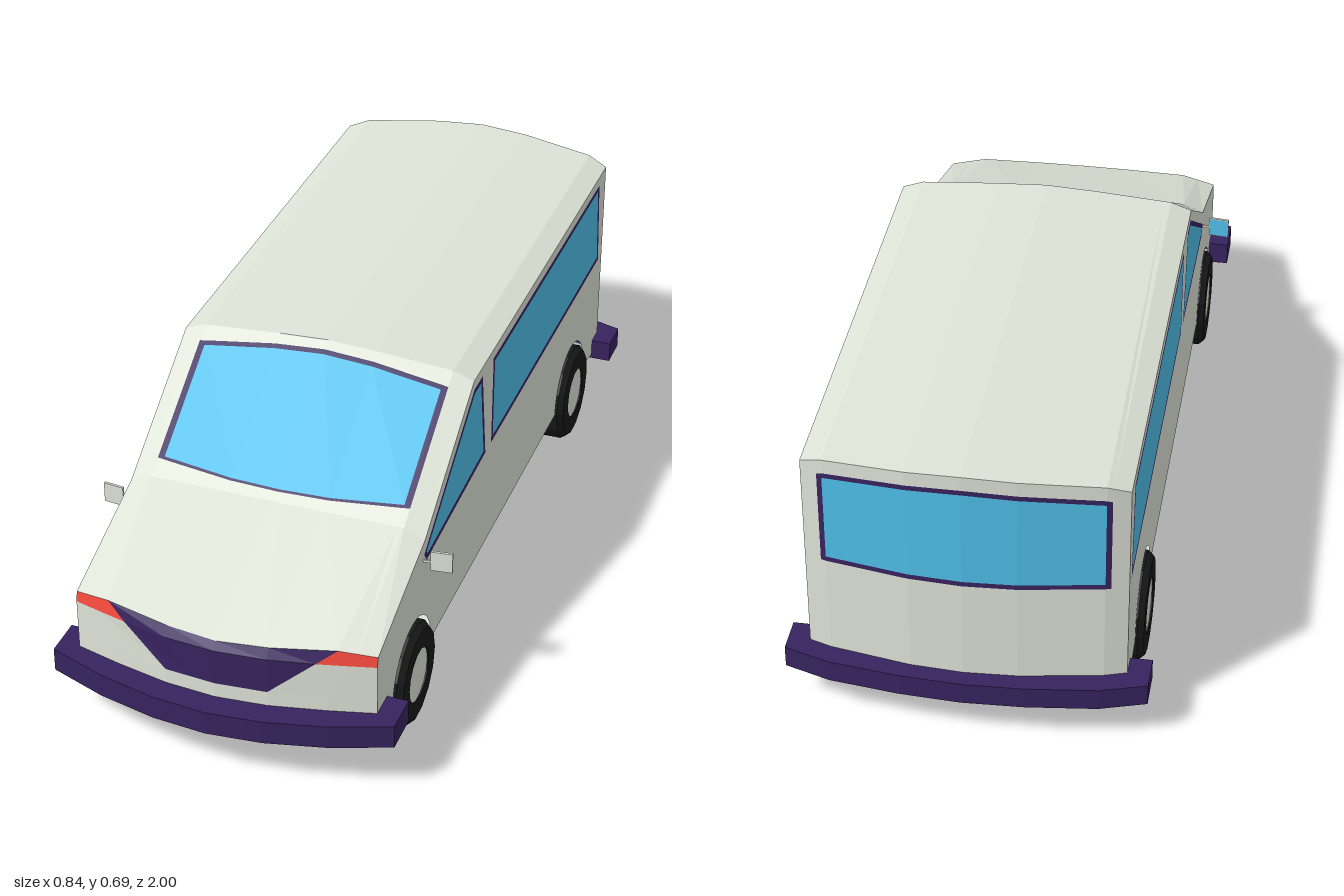
import * as THREE from 'three';

const material = (color) => new THREE.MeshStandardMaterial({ color, flatShading: true, side: THREE.DoubleSide });
const W = 0.355; // half width of the body

// Piecewise-linear curve through [x, value] pairs
function curve(pts) {
  return (x) => {
    let i = 1;
    while (i < pts.length - 1 && x > pts[i][0]) i++;
    const [a, b] = [pts[i - 1], pts[i]];
    return THREE.MathUtils.lerp(a[1], b[1], (x - a[0]) / (b[0] - a[0]));
  };
}

function polygon(pts, Type = THREE.Shape) {
  return new Type(pts.map(([x, y]) => new THREE.Vector2(x, y)));
}

export function createModel() {
  const van = new THREE.Group();
  van.name = 'van';
  const mats = {
    b: material(0xdfe4d8), f: material(0x38235f), g: material(0x4fc0ea),
    r: material(0xf54a3c), t: material(0x1a1a1a),
  };
  const add = (name, geometry, mat, parent = van) => {
    const mesh = new THREE.Mesh(geometry, mat);
    mesh.name = name;
    parent.add(mesh);
    return mesh;
  };

  // Outlines across the width: nose and tail depth, windscreen base and roof height
  const noseZ = curve([[0, 0.94], [0.12, 0.93], [0.24, 0.905], [W, 0.875]]);
  const hoodZ = curve([[0, 0.925], [0.12, 0.915], [0.27, 0.89], [W, 0.87]]);
  const hoodY = curve([[0, 0.33], [0.12, 0.335], [0.27, 0.347], [W, 0.337]]);
  const tailZ = curve([[0, -0.96], [0.12, -0.953], [0.3, -0.923], [W, -0.905]]);
  const baseY = curve([[0, 0.46], [0.305, 0.46], [W, 0.44]]);
  const roofY = curve([[0, 0.693], [0.12, 0.687], [0.305, 0.673], [W, 0.655]]);

  // Shell rows from nose to tail; each gives points from the centre to the edge
  const cols = [0, 0.12, 0.29, 0.305, W];
  const tailCols = [0, 0.12, 0.305, 0.317, W];
  const nose = (xs, y) => xs.map((x) => [x, y, noseZ(x)]);
  const screen = (mid, side) => cols.map((x) => {
    const v = THREE.MathUtils.lerp(mid, side, (x / 0.3) ** 2);
    return [x, THREE.MathUtils.lerp(baseY(x), roofY(x), v), THREE.MathUtils.lerp(0.56, 0.22, v)];
  });
  const tail = (y) => tailCols.map((x) => [x, typeof y === 'number' ? y : y(x), tailZ(x)]);
  // Letters name the material of each cell from the centre outward, up to the next row
  const rows = [
    [nose([0, 0.06, 0.12, 0.25, W], 0.13), 'bbbb'],
    [nose([0, 0.06, 0.12, 0.25, W], 0.225), 'ffbb'],
    [nose([0, 0.12, 0.225, 0.29, W], 0.313), 'ffrr'],
    [[0, 0.12, 0.27, 0.31, W].map((x) => [x, hoodY(x), hoodZ(x)]), 'bbbb'],
    [screen(0, 0), 'bbbb'],
    [screen(0.06, 0.12), 'fffb'],
    [screen(0.075, 0.14), 'ggfb'],
    [screen(0.91, 0.865), 'fffb'],
    [screen(0.94, 0.895), 'bbbb'],
    [screen(1, 1), 'bbbb'],
    [tail(roofY), 'bbbb'],
    [tail((x) => roofY(x) - 0.035), 'fffb'],
    [tail((x) => roofY(x) - 0.047), 'ggfb'],
    [tail(0.412), 'fffb'],
    [tail(0.4), 'bbbb'],
    [tail(0.11), ''],
  ];
  const cells = { b: [], f: [], g: [], r: [] };
  const full = rows.map(([half]) => [...half.slice(1).reverse().map(([x, y, z]) => [-x, y, z]), ...half]);
  for (let i = 0; i < rows.length - 1; i++) {
    for (let c = 0; c < 8; c++) {
      const key = rows[i][1][c < 4 ? 3 - c : c - 4];
      const [p, q, s, u] = [full[i][c], full[i][c + 1], full[i + 1][c], full[i + 1][c + 1]];
      cells[key].push(...p, ...q, ...s, ...q, ...u, ...s);
    }
  }
  const names = { b: 'bodyShell', f: 'grilleAndWindowFrames', g: 'windscreenAndRearWindow', r: 'headlights' };
  for (const key in cells) {
    const geometry = new THREE.BufferGeometry();
    geometry.setAttribute('position', new THREE.Float32BufferAttribute(cells[key], 3));
    geometry.computeVertexNormals();
    add(names[key], geometry, mats[key]);
  }

  // Side panel with wheel arches and window openings, drawn in (z, y)
  const axles = [0.64, -0.635];
  const panel = polygon([[0.875, 0.13], [0.875, 0.313], [0.87, 0.337], [0.56, 0.44], [0.22, 0.655],
    [-0.905, 0.655], [-0.905, 0.11], [-0.86, 0.11], [-0.767, 0.13]]);
  for (const z of [...axles].reverse()) panel.absarc(z, 0.13, 0.131, Math.PI, 0, true);
  const windows = [
    { name: 'frontSideWindow',
      outer: [[0.565, 0.402], [0.215, 0.63], [0.153, 0.63], [0.115, 0.397], [0.547, 0.378]],
      inner: [[0.548, 0.4], [0.212, 0.617], [0.164, 0.617], [0.13, 0.409], [0.54, 0.391]] },
    { name: 'rearSideWindow',
      outer: [[0.07, 0.63], [-0.846, 0.63], [-0.872, 0.398], [0.07, 0.398]],
      inner: [[0.058, 0.618], [-0.835, 0.618], [-0.859, 0.41], [0.058, 0.41]] },
  ];
  const side = new THREE.Group();
  const flat = (shape) => new THREE.ShapeGeometry(shape, 12).rotateY(-Math.PI / 2).translate(-W, 0, 0);
  for (const { name, outer, inner } of windows) {
    panel.holes.push(polygon(outer, THREE.Path));
    const frame = polygon(outer);
    frame.holes.push(polygon(inner, THREE.Path));
    add(name + 'Frame', flat(frame), mats.f, side);
    add(name + 'Glass', flat(polygon(inner)), mats.g, side);
  }
  add('sidePanel', flat(panel), mats.b, side);

  // Door mirror: stalk, housing and glass facing back
  const mirror = new THREE.Group();
  mirror.name = 'doorMirror';
  mirror.position.set(-0.397, 0.395, 0.567);
  mirror.rotation.y = -0.12;
  add('mirrorHousing', new THREE.BoxGeometry(0.05, 0.05, 0.006), mats.b, mirror);
  add('mirrorGlass', new THREE.PlaneGeometry(0.046, 0.046).rotateY(Math.PI).translate(0, 0, -0.004), mats.g, mirror);
  add('mirrorStalk', new THREE.BoxGeometry(0.025, 0.006, 0.004).translate(0.034, -0.003, 0), mats.b, mirror);
  side.add(mirror);

  // Wheels: chamfered tyre with a flush hub disc
  const tyreProfile = [[0.066, 0], [0.125, 0], [0.125, 0.058], [0.112, 0.072], [0.066, 0.072], [0.066, 0]];
  const tyre = new THREE.LatheGeometry(tyreProfile.map(([r, y]) => new THREE.Vector2(r, y)), 14)
    .rotateZ(Math.PI / 2).translate(-0.3, 0, 0);
  const hub = new THREE.CylinderGeometry(0.066, 0.066, 0.068, 14).rotateZ(Math.PI / 2).translate(-0.335, 0, 0);
  for (const z of axles) {
    const wheel = new THREE.Group();
    wheel.name = 'wheel';
    wheel.position.set(0, 0.125, z);
    add('tyre', tyre, mats.t, wheel);
    add('hub', hub, mats.b, wheel);
    side.add(wheel);
    add('axle', new THREE.CylinderGeometry(0.022, 0.022, 0.62, 10).rotateZ(Math.PI / 2).translate(0, 0.125, z), mats.t);
  }

  // Mirror the side assembly
  side.name = 'rightSide';
  const left = side.clone();
  left.name = 'leftSide';
  left.scale.x = -1;
  van.add(side, left);

  // Floor between the wheel arches
  add('floor', new THREE.PlaneGeometry(2 * W, 1.013).rotateX(Math.PI / 2).translate(0, 0.13, 0.0025), mats.b);

  // Wrap-around bumpers, drawn in (x, z)
  const bumper = (name, half, y, height) => {
    const pts = [...half, ...[...half].reverse().map(([x, z]) => [-x, z])];
    const geometry = new THREE.ExtrudeGeometry(polygon(pts), { depth: height, bevelEnabled: false });
    add(name, geometry.rotateX(Math.PI / 2).translate(0, y + height, 0), mats.f);
  };
  bumper('frontBumper', [[0, 0.935], [0.12, 0.925], [0.24, 0.9], [0.35, 0.87], [0.35, 0.81], [0.405, 0.81],
    [0.405, 0.905], [0.27, 0.955], [0.13, 0.988], [0, 1]], 0.13, 0.058);
  bumper('rearBumper', [[0, -0.955], [0.12, -0.948], [0.3, -0.918], [0.35, -0.9], [0.35, -0.855], [0.405, -0.855],
    [0.405, -0.94], [0.3, -0.973], [0.14, -0.993], [0, -1]], 0.103, 0.053);

  return van;
}
